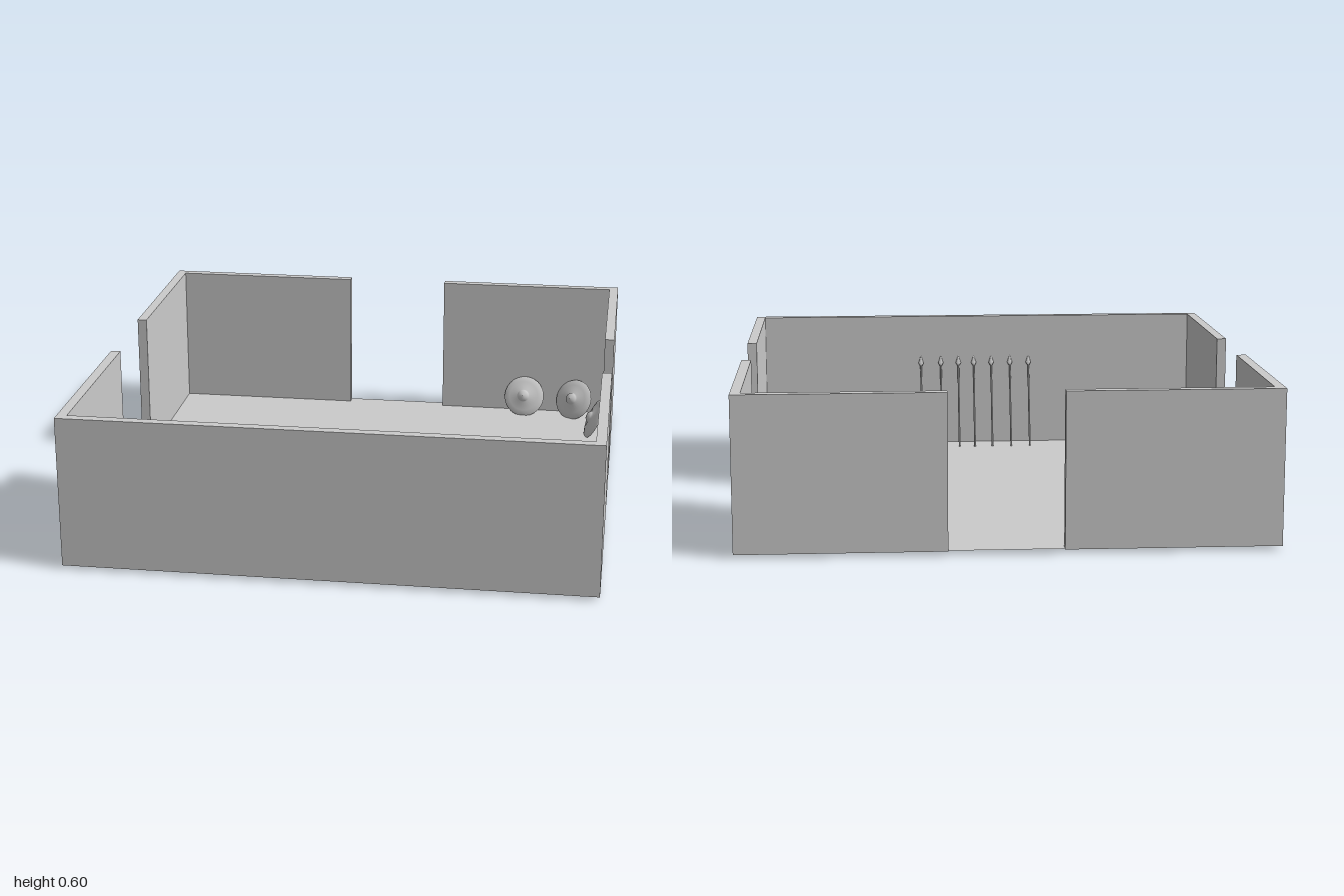
import * as THREE from 'three';

const grey = new THREE.MeshStandardMaterial({ color: 0xcccccc });
const greyThin = new THREE.MeshStandardMaterial({ color: 0xcccccc, side: THREE.DoubleSide });
const FLOOR = 0.018, TOP = 0.6, T = 0.038;

function add(parent, name, geometry, material = grey) {
  const mesh = new THREE.Mesh(geometry, material);
  mesh.name = name;
  parent.add(mesh);
  return mesh;
}

// Wall block between two corners on the ground plan
function wall(parent, name, x0, x1, z0, z1) {
  const bottom = FLOOR - 0.003;
  add(parent, name, new THREE.BoxGeometry(x1 - x0, TOP - bottom, z1 - z0))
    .position.set((x0 + x1) / 2, (TOP + bottom) / 2, (z0 + z1) / 2);
}

// Spear standing along +y with its butt at the origin
function makeSpear(length) {
  const spear = new THREE.Group();
  spear.name = 'spear';
  add(spear, 'spearShaft', new THREE.CylinderGeometry(0.004, 0.004, length - 0.04, 8))
    .position.y = (length - 0.04) / 2;
  const head = add(spear, 'spearHead', new THREE.LatheGeometry([
    [0, 0], [0.005, 0], [0.012, 0.014], [0, 0.05],
  ].map(([r, y]) => new THREE.Vector2(r, y)), 8));
  head.position.y = length - 0.05;
  head.scale.z = 0.5;
  add(spear, 'spearButt', new THREE.CylinderGeometry(0.006, 0.004, 0.014, 8)).position.y = 0.007;
  return spear;
}

// Round domed shield with a central boss, facing +y
function shieldGeometry() {
  const profile = [
    [0.09, 0], [0.088, 0.006], [0.065, 0.014], [0.028, 0.02],
    [0.025, 0.028], [0.014, 0.036], [0, 0.039],
  ].map(([r, y]) => new THREE.Vector2(r, y));
  return new THREE.LatheGeometry(profile, 28);
}

export function createModel() {
  const room = new THREE.Group();
  room.name = 'guardRoom';

  // Floor
  add(room, 'floor', new THREE.PlaneGeometry(2, 2).rotateX(-Math.PI / 2), greyThin)
    .position.y = FLOOR;

  // Walls: solid front, doorways in the other three sides
  wall(room, 'frontWall', -1, 1, 1 - T, 1);
  wall(room, 'backWallRight', -1, -0.2, -1, -1 + T);
  wall(room, 'backWallLeft', 0.225, 1, -1, -1 + T);
  for (const [side, x0] of [['right', -1], ['left', 1 - T]]) {
    wall(room, side + 'WallFront', x0, x0 + T, 0.2, 1 - T);
    wall(room, side + 'WallBack', x0, x0 + T, -1 + T, -0.228);
  }

  // Spears leaning on the front wall
  const rise = 0.42, lean = 0.12;
  for (const x of [-0.23, -0.145, -0.06, 0.02, 0.09, 0.17, 0.26]) {
    const spear = makeSpear(Math.hypot(rise, lean));
    spear.position.set(x, 0.002, 0.843);
    spear.rotation.x = Math.atan2(lean, rise);
    room.add(spear);
  }

  // Shields leaning in the back corner: x, z, turn in degrees
  const tilt = THREE.MathUtils.degToRad(65);
  for (const [x, z, turn] of [[0.6, -0.925, -8], [0.825, -0.91, -32], [0.925, -0.67, -80]]) {
    const shield = add(room, 'shield', shieldGeometry(), greyThin);
    shield.position.set(x, 0.094, z);
    shield.rotation.set(tilt, THREE.MathUtils.degToRad(turn), 0, 'YXZ');
  }

  // Small pairs of sticks scattered on the floor: x, z, turn in degrees
  for (const [x, z, turn] of [
    [-0.695, 0.563, -20], [-0.82, 0.895, 37], [0.43, 0.795, 0],
    [0.45, 0.672, -28], [0.66, 0.48, -55],
  ]) {
    const pair = new THREE.Group();
    pair.name = 'stickPair';
    for (const s of [-1, 1]) {
      const stick = add(pair, 'stick', new THREE.CylinderGeometry(0.004, 0.004, 0.06, 8));
      stick.position.z = s * 0.007;
      stick.rotation.z = Math.PI / 2 + s * 0.1;
    }
    pair.position.set(x, FLOOR + 0.002, z);
    pair.rotation.y = THREE.MathUtils.degToRad(turn);
    room.add(pair);
  }

  return room;
}
